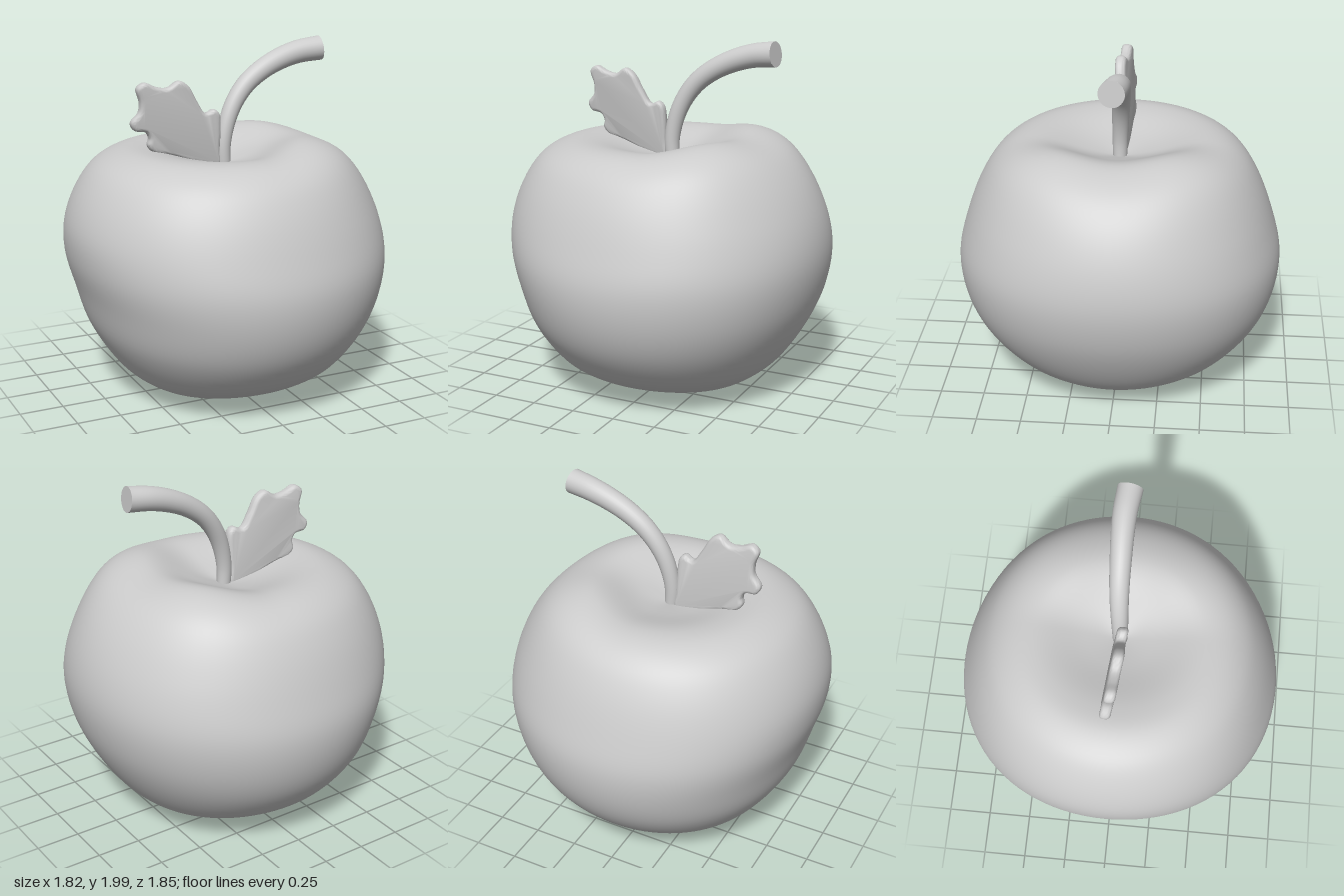
import * as THREE from 'three';
import { mergeVertices, toCreasedNormals } from 'three/addons/utils/BufferGeometryUtils.js';

const material = new THREE.MeshStandardMaterial({ color: 0xcccccc });

const spline = (points) =>
  new THREE.CatmullRomCurve3(points.map(([x, y, z = 0]) => new THREE.Vector3(x, y, z)));

function part(name, geometry) {
  const mesh = new THREE.Mesh(geometry, material);
  mesh.name = name;
  return mesh;
}

// Fruit: half profiles (radius, height) from bottom to top, blended around the axis
function createFruit() {
  const right = spline([[0, 0.06], [0.16, 0.042], [0.32, 0.018], [0.46, 0.055], [0.56, 0.115], [0.66, 0.205],
    [0.79, 0.4], [0.875, 0.6], [0.91, 0.82], [0.88, 1.02], [0.79, 1.22], [0.67, 1.36], [0.54, 1.43],
    [0.4, 1.45], [0.2, 1.385], [0, 1.315]]);
  const left = spline([[0, 0.06], [0.15, 0.035], [0.29, 0.007], [0.43, 0.045], [0.55, 0.115], [0.645, 0.205],
    [0.78, 0.42], [0.85, 0.64], [0.905, 0.84], [0.908, 1.02], [0.84, 1.21], [0.73, 1.35], [0.57, 1.42],
    [0.42, 1.415], [0.2, 1.355], [0, 1.315]]);
  const side = spline([[0, 0.06], [0.16, 0.045], [0.31, 0.035], [0.45, 0.07], [0.57, 0.125], [0.69, 0.21],
    [0.83, 0.385], [0.903, 0.57], [0.922, 0.77], [0.875, 0.97], [0.79, 1.19], [0.7, 1.325], [0.59, 1.4],
    [0.45, 1.42], [0.21, 1.36], [0, 1.315]]);

  let geometry = new THREE.SphereGeometry(1, 96, 84);
  geometry.deleteAttribute('uv');
  geometry.deleteAttribute('normal');
  geometry = mergeVertices(geometry);
  const pos = geometry.attributes.position;
  const p = new THREE.Vector3();
  for (let i = 0; i < pos.count; i++) {
    p.fromBufferAttribute(pos, i);
    const angle = Math.atan2(p.z, p.x);
    const t = 1 - Math.acos(THREE.MathUtils.clamp(p.y, -1, 1)) / Math.PI;
    const c = Math.cos(angle), s = Math.sin(angle);
    const a = (c > 0 ? right : left).getPoint(t);
    a.lerp(side.getPoint(t), s * s);
    // Fuller diagonals, and two raised shoulders on the stem side of the rim
    const diagonal = Math.sin(2 * angle) ** 2;
    const radius = a.x * (1 + 0.014 * diagonal);
    const rim = THREE.MathUtils.smoothstep(a.y, 1.1, 1.4) * THREE.MathUtils.smoothstep(a.x, 0.1, 0.45);
    const lift = c > 0 ? 0.032 * diagonal * rim : 0;
    pos.setXYZ(i, radius * c, a.y + lift, radius * s);
  }
  geometry.computeVertexNormals();
  return part('fruit', geometry);
}

// Stem: a tube that widens toward its flat tip
function createStem() {
  const steps = 40, sides = 28, baseRadius = 0.038, tipRadius = 0.07;
  const path = spline([[0.002, 1.26, 0], [-0.003, 1.42, 0], [0.027, 1.56, -0.005], [0.08, 1.67, -0.012],
    [0.152, 1.757, -0.017], [0.25, 1.828, -0.02], [0.36, 1.88, -0.022], [0.48, 1.915, -0.019], [0.61, 1.931, -0.004]]);
  const tube = new THREE.TubeGeometry(path, steps, 1, sides);
  const pos = tube.attributes.position;
  const p = new THREE.Vector3();
  for (let i = 0; i < pos.count; i++) {
    const t = Math.floor(i / (sides + 1)) / steps;
    const center = path.getPointAt(t);
    p.fromBufferAttribute(pos, i).sub(center);
    p.multiplyScalar(THREE.MathUtils.lerp(baseRadius, tipRadius, t)).add(center);
    pos.setXYZ(i, p.x, p.y, p.z);
  }
  const tip = part('stemTip', new THREE.CircleGeometry(tipRadius, sides));
  tip.position.copy(path.getPointAt(1));
  tip.quaternion.setFromUnitVectors(new THREE.Vector3(0, 0, 1), path.getTangentAt(1));

  const stem = new THREE.Group();
  stem.name = 'stem';
  stem.add(part('stemTube', tube), tip);
  return stem;
}

// Leaf: a thick lobed plate with rounded edges, leaning slightly
function createLeaf() {
  const outline = [[-0.03, 1.31], [-0.033, 1.4], [-0.033, 1.53], [-0.045, 1.61], [-0.075, 1.632], [-0.125, 1.615],
    [-0.18, 1.69], [-0.23, 1.775], [-0.285, 1.806], [-0.35, 1.77], [-0.415, 1.78], [-0.48, 1.806], [-0.522, 1.775],
    [-0.503, 1.7], [-0.507, 1.64], [-0.55, 1.585], [-0.53, 1.54], [-0.465, 1.525], [-0.445, 1.49], [-0.452, 1.45],
    [-0.42, 1.41], [-0.32, 1.385], [-0.18, 1.335]].map(([x, y]) => new THREE.Vector3(x, y, 0));
  const edge = new THREE.CatmullRomCurve3(outline, true).getPoints(110).slice(0, -1);
  const shape = new THREE.Shape(edge.map((v) => new THREE.Vector2(v.x, v.y)));
  const bevel = 0.022;
  const geometry = new THREE.ExtrudeGeometry(shape, {
    depth: 0.016, steps: 1, bevelEnabled: true, bevelThickness: bevel,
    bevelSize: bevel, bevelOffset: -bevel, bevelSegments: 5,
  });
  geometry.translate(0, 0, -0.011);
  const pos = geometry.attributes.position;
  for (let i = 0; i < pos.count; i++) {
    const x = pos.getX(i), y = pos.getY(i);
    pos.setZ(i, pos.getZ(i) + 0.1 * (y - 1.6) + 0.1 * (x + 0.3));
  }
  return part('leaf', toCreasedNormals(geometry, 0.7));
}

export function createModel() {
  const model = new THREE.Group();
  model.name = 'apple';
  model.add(createFruit(), createStem(), createLeaf());
  return model;
}
